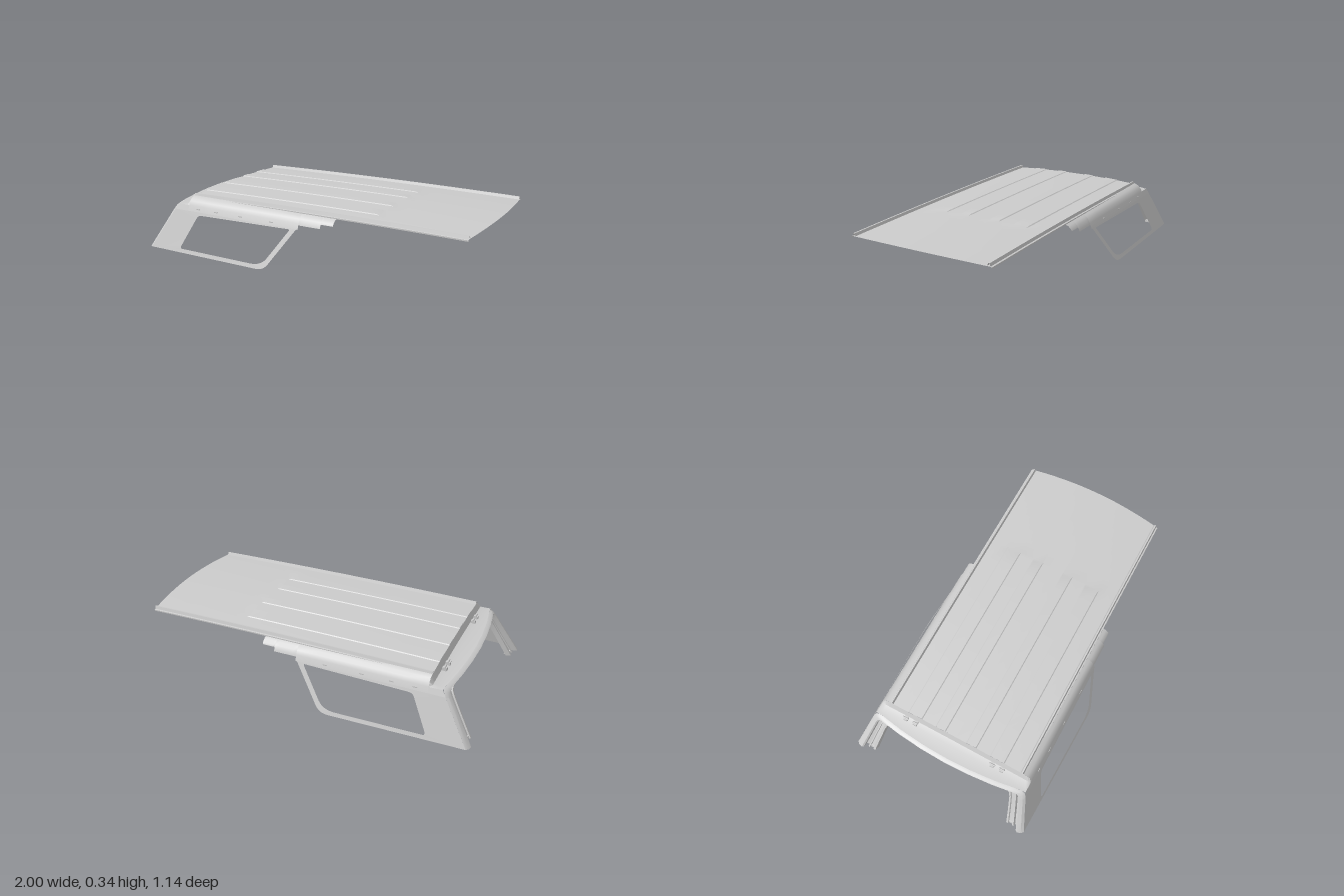
import * as THREE from 'three';
import { toCreasedNormals } from 'three/addons/utils/BufferGeometryUtils.js';

const material = new THREE.MeshStandardMaterial({ color: 0xcccccc, side: THREE.DoubleSide });
const lerp = THREE.MathUtils.lerp;

// Surface through the points fn(row, column)
function grid(rows, cols, fn) {
  const pos = [], idx = [];
  rows.forEach((r, i) => cols.forEach((c, j) => {
    pos.push(...fn(r, c));
    if (i && j) {
      const d = i * cols.length + j, b = d - cols.length;
      idx.push(b - 1, b, d - 1, b, d, d - 1);
    }
  }));
  const g = new THREE.BufferGeometry();
  g.setAttribute('position', new THREE.Float32BufferAttribute(pos, 3));
  g.setIndex(idx);
  return toCreasedNormals(g, 0.5);
}

function add(parent, name, geometry) {
  const mesh = new THREE.Mesh(geometry, material);
  mesh.name = name;
  parent.add(mesh);
  return mesh;
}

const steps = (a, b, n) => Array.from({ length: n + 1 }, (_, i) => lerp(a, b, i / n));
const mirrored = list => [...list, ...list.slice().reverse().filter(v => v !== 0).map(v => -v)];

// Linear interpolation in a table of [key, value] with rising keys
function lookup(table, k) {
  let i = 1;
  while (i < table.length - 1 && k > table[i][0]) i++;
  const [a, b] = [table[i - 1], table[i]];
  return lerp(a[1], b[1], THREE.MathUtils.clamp((k - a[0]) / (b[0] - a[0]), 0, 1));
}

// Crowned roof height, and the bow of its front edge
const roofY = (x, z) => 0.34 - 0.011 * ((x - 0.3) / 1.04) ** 2 - 0.014 * (z / 0.42) ** 2;
const roofEnd = z => 1 - 0.035 * (z / 0.43) ** 2;

// Side section: flat and leaning below, rolling over to the roof above
const shoulder = [[0.24, 0.488], [0.272, 0.476], [0.295, 0.464], [0.31, 0.448], [0.32, 0.425]];
const sideZ = (x, y) => y <= 0.24
  ? lerp(0.555, 0.488, y / 0.24) + 0.016 * (1 - y / 0.24) * (x + 0.985) / 0.8
  : lookup(shoulder, y);

// Raked plane of the tailgate opening, bowed backwards along the header
const rearX = (y, z) => -0.99 + 0.6 * y - 0.05 * Math.max(0, 1 - (z / 0.45) ** 2);

function buildRoof(group) {
  // Roof skin with raised bands that stop short of the front
  const bands = [0.305, 0.3, 0.22, 0.215, 0.13, 0.125, 0.07, 0.065];
  const zs = mirrored([0.428, 0.4, 0.36, ...bands, 0]);
  const raised = z => {
    const a = Math.abs(z);
    return (a > 0.217 && a < 0.302) || (a > 0.067 && a < 0.127) ? 0.004 : 0;
  };
  add(group, 'roofSkin', grid([...steps(-0.74, 0.4, 12), 0.42, ...steps(0.5, 1, 6)], zs, (x, z) => {
    const px = x > 0.5 ? lerp(0.5, roofEnd(z), (x - 0.5) / 0.5) : x;
    return [px, roofY(px, z) + (x < 0.41 ? raised(z) : 0), z];
  }));

  // Drip rails along both roof edges
  const section = [[0.405, 0], [0.411, 0.015], [0.419, 0.016], [0.424, 0], [0.432, -0.002], [0.432, -0.009]];
  for (const s of [1, -1]) {
    add(group, s > 0 ? 'leftRoofRail' : 'rightRoofRail', grid(steps(-0.74, 0.966, 16), section,
      (x, [z, dy]) => [x, roofY(x, z) + dy, s * z]));
  }
}

function buildSide(group, s) {
  const side = new THREE.Group();
  side.name = s > 0 ? 'leftSide' : 'rightSide';
  group.add(side);

  // Rear quarter panel with its window opening
  const shape = new THREE.Shape();
  shape.moveTo(-0.98, 0);
  shape.lineTo(-0.22, 0);
  shape.bezierCurveTo(-0.16, 0, -0.145, 0.025, -0.125, 0.055);
  shape.lineTo(0.005, 0.24);
  shape.lineTo(-0.836, 0.24);
  shape.closePath();
  const hole = new THREE.Path();
  hole.moveTo(-0.755, 0.022);
  hole.lineTo(-0.25, 0.022);
  hole.bezierCurveTo(-0.19, 0.024, -0.165, 0.045, -0.148, 0.07);
  hole.lineTo(-0.04, 0.225);
  hole.quadraticCurveTo(-0.033, 0.235, -0.045, 0.235);
  hole.lineTo(-0.64, 0.224);
  hole.quadraticCurveTo(-0.663, 0.222, -0.672, 0.205);
  hole.lineTo(-0.758, 0.035);
  hole.closePath();
  shape.holes.push(hole);
  const panel = new THREE.ShapeGeometry(shape, 10);
  const p = panel.attributes.position;
  for (let i = 0; i < p.count; i++) p.setZ(i, s * sideZ(p.getX(i), p.getY(i)));
  panel.computeVertexNormals();
  add(side, 'quarterPanel', panel);

  // Shoulder above the window, stepping up towards the front
  const spans = [
    [-0.836, -0.74, 0.24, 0.272], [-0.74, 0.015, 0.24, 0.32],
    [0.015, 0.15, 0.263, 0.32], [0.15, 0.225, 0.285, 0.32],
  ];
  spans.forEach(([x0, x1, y0, y1], k) => {
    const ys = [y0, ...shoulder.map(v => v[0]).filter(y => y > y0 && y < y1), y1];
    add(side, 'shoulder' + (k + 1), grid(steps(x0, x1, 6), ys, (x, y) => {
      const px = k === 0 ? lerp(-0.98 + 0.6 * y, -0.74, (x - x0) / (x1 - x0)) : x;
      return [px, y, s * sideZ(px, y)];
    }));
  });

  // Small clips above the window
  for (const x of [-0.67, -0.54, -0.37, -0.16]) {
    const clip = add(side, 'clip', new THREE.BoxGeometry(0.025, 0.006, 0.004));
    clip.position.set(x, 0.255, s * (sideZ(x, 0.255) - 0.001));
  }
}

function buildRear(group) {
  // Pillars and header as one hoop: [outer z, outer y, inner z, inner y]
  const half = [
    [0.555, 0, 0.43, 0], [0.521, 0.12, 0.413, 0.1], [0.488, 0.24, 0.395, 0.195],
    [0.476, 0.264, 0.386, 0.224], [0.455, 0.273, 0.368, 0.24], [0.4, 0.276, 0.335, 0.247],
    [0.3, 0.279, 0.27, 0.25], [0.15, 0.283, 0.14, 0.254], [0, 0.284, 0, 0.255],
  ];
  const hoop = [...half, ...half.slice(0, -1).reverse().map(([a, b, c, d]) => [-a, b, -c, d])];
  // Stepped section with seal channels: [fraction inwards, forward offset]
  const section = [[0, 0.01], [0.1, -0.004], [0.28, -0.01], [0.36, -0.004], [0.4, 0.024], [0.52, 0.028],
    [0.55, 0.012], [0.62, 0.012], [0.64, 0.02], [0.8, 0.02], [0.83, 0.012], [0.92, 0.014], [1, 0.045]];
  add(group, 'tailgateFrame', grid(hoop, section, ([zo, yo, zi, yi], [u, dx]) => {
    const y = lerp(yo, yi, u), z = lerp(zo, zi, u);
    return [rearX(y, z) + dx, y, z];
  }));

  // Drop from the roof to the ledge above the tailgate
  const zs = mirrored([0.476, 0.464, 0.448, 0.425, 0.35, 0.25, 0.12, 0]);
  const arch = z => Math.abs(z) > 0.425
    ? lookup([[0.425, 0.316], [0.448, 0.308], [0.464, 0.293], [0.476, 0.272]], Math.abs(z))
    : roofY(-0.74, z);
  const ledge = z => 0.284 - 0.012 * (z / 0.476) ** 2;
  add(group, 'rearLedge', grid([0, 1, 2, 3], zs, (r, z) => {
    const y = ledge(z);
    const back = rearX(y, z) + 0.01;
    if (r === 0) return [-0.74, arch(z), z];
    if (r === 1) return [-0.757, Math.min(arch(z), y + 0.006), z];
    if (r === 2) return [-0.79, y, z];
    return [back, y, z];
  }));

  // Tailgate hinges
  for (const s of [1, -1]) for (const z of [0.245, 0.305]) {
    const hinge = add(group, 'hinge', new THREE.BoxGeometry(0.025, 0.018, 0.022));
    hinge.position.set(-0.772, 0.291, s * z);
    const pin = add(group, 'hingePin', new THREE.CylinderGeometry(0.005, 0.005, 0.035, 10));
    pin.rotation.x = Math.PI / 2;
    pin.position.set(-0.772, 0.302, s * z);
  }

  // Small feet closing the pillar bottoms
  for (const s of [1, -1]) {
    const foot = add(group, 'pillarFoot', new THREE.BoxGeometry(0.03, 0.012, 0.04));
    foot.position.set(-0.95, 0.012, s * 0.455);
  }
}

export function createModel() {
  const group = new THREE.Group();
  group.name = 'vehicleRoof';
  buildRoof(group);
  for (const s of [1, -1]) buildSide(group, s);
  buildRear(group);
  return group;
}
